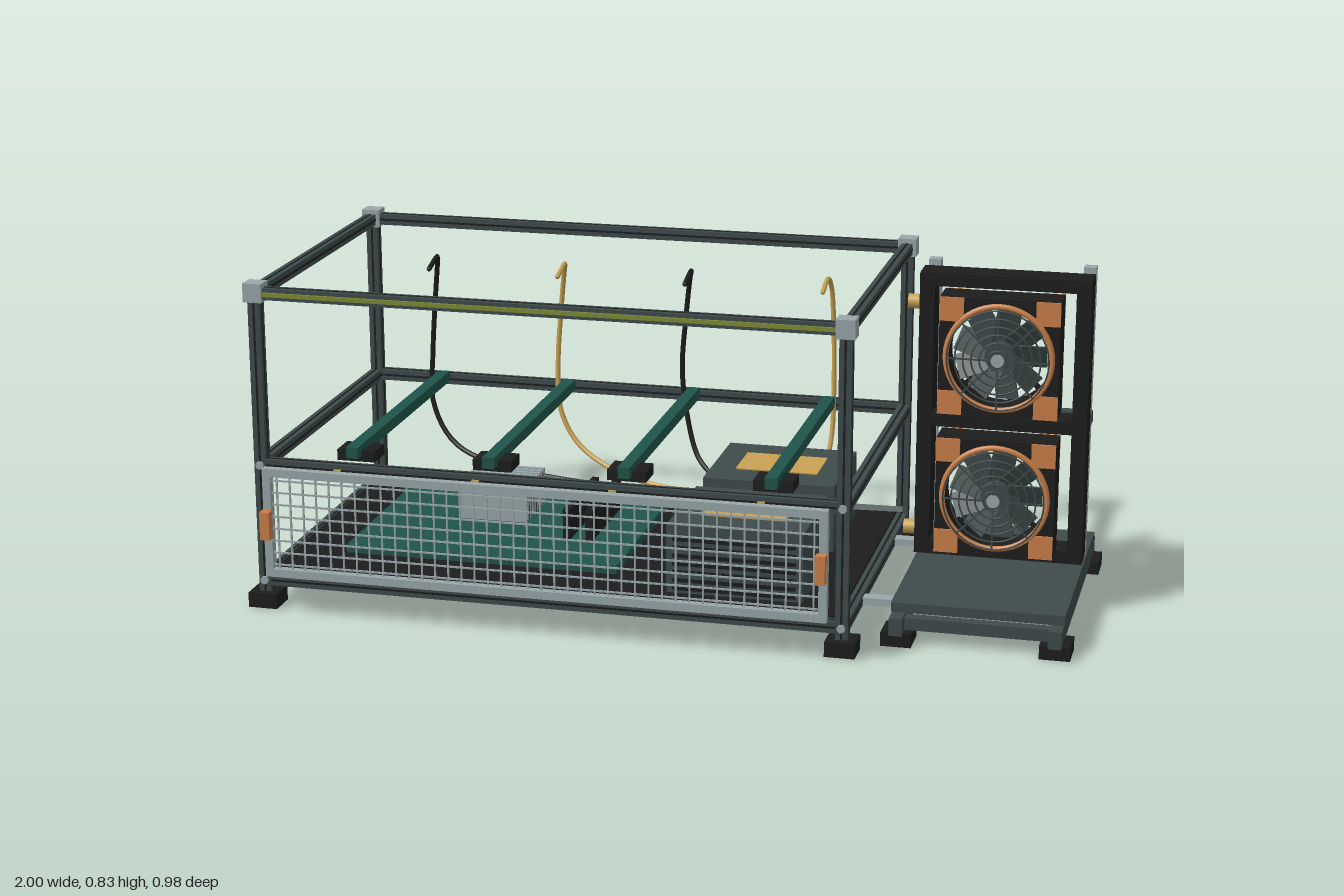
import * as THREE from 'three';

const mat = (name, color) => Object.assign(new THREE.MeshStandardMaterial({ color }), { name });
const slate = mat('slate', 0x3f4b4b), light = mat('light aluminium', 0x99a7aa);
const black = mat('black', 0x1d1d1d), green = mat('board green', 0x20544a);
const copper = mat('copper', 0xcb8048), gold = mat('gold', 0xc8a152), olive = mat('olive strip', 0x7f8c34);

function mesh(parent, name, geo, material, x = 0, y = 0, z = 0) {
  const m = new THREE.Mesh(geo, material);
  m.name = name;
  m.position.set(x, y, z);
  parent.add(m);
  return m;
}
// Box given by its low and high limits on each axis
function span(parent, name, material, [x0, x1], [y0, y1], [z0, z1]) {
  return mesh(parent, name, new THREE.BoxGeometry(x1 - x0, y1 - y0, z1 - z0), material,
    (x0 + x1) / 2, (y0 + y1) / 2, (z0 + z1) / 2);
}
function box(parent, name, material, w, h, d, x, y, z) {
  return mesh(parent, name, new THREE.BoxGeometry(w, h, d), material, x, y, z);
}
function group(parent, name) {
  const g = new THREE.Group();
  g.name = name;
  parent.add(g);
  return g;
}

const X = [-0.965, 0.468], Z = [-0.452, 0.386], CX = (X[0] + X[1]) / 2, CZ = (Z[0] + Z[1]) / 2;

// Slotted rail along one axis, with a dark groove on each long face
function rail(parent, name, axis, length, x, y, z, t = 0.028) {
  const g = group(parent, name);
  g.position.set(x, y, z);
  const size = (a, b, c) => axis === 'x' ? [a, b, c] : axis === 'y' ? [b, a, c] : [b, c, a];
  box(g, 'railBody', slate, ...size(length, t, t), 0, 0, 0);
  box(g, 'railGroove', black, ...size(length, t + 0.002, 0.005), 0, 0, 0);
  box(g, 'railGroove', black, ...size(length, 0.005, t + 0.002), 0, 0, 0);
}

function buildFrame(root) {
  const g = group(root, 'frame');
  for (const x of X) for (const z of Z) {
    rail(g, 'post', 'y', 0.75, x, 0.412, z, 0.03);
    box(g, 'cornerBlock', light, 0.046, 0.046, 0.046, x, 0.789, z);
    box(g, 'foot', black, 0.073, 0.037, 0.073, x, 0.0185, z);
    if (z > 0) for (const y of [0.36, 0.066]) {
      mesh(g, 'bolt', new THREE.CylinderGeometry(0.01, 0.01, 0.008, 10), light, x, y, z + 0.018).rotation.x = Math.PI / 2;
    }
  }
  for (const y of [0.786, 0.36, 0.066]) {
    for (const z of Z) rail(g, 'longRail', 'x', X[1] - X[0] - 0.03, CX, y, z);
    for (const x of X) rail(g, 'sideRail', 'z', Z[1] - Z[0] - 0.03, x, y, CZ);
  }
  // Diagonal braces at both ends
  const dz = 0.755, dy = 0.25;
  for (const x of X) {
    box(g, 'brace', light, 0.014, 0.014, Math.hypot(dz, dy), x, 0.226, -0.0275).rotation.x = -Math.atan2(dy, dz);
  }
  span(g, 'lightStrip', olive, [-0.94, 0.445], [0.781, 0.791], [0.398, 0.406]);
  span(g, 'tray', black, [-0.952, 0.455], [0.062, 0.087], [-0.44, 0.373]);
}

const BEAMS = [-0.767, -0.42, -0.083, 0.275];
function buildInterior(root) {
  const g = group(root, 'interior');
  // Beams on pads, clipped to the front rail
  for (const x of BEAMS) {
    span(g, 'beam', green, [x - 0.015, x + 0.015], [0.36, 0.388], [-0.42, 0.3]);
    span(g, 'beamPad', black, [x - 0.048, x + 0.048], [0.345, 0.372], [0.2, 0.272]);
    box(g, 'beamClip', gold, 0.018, 0.012, 0.008, x, 0.357, 0.403);
  }
  span(g, 'mainBoard', green, [-0.82, -0.125], [0.087, 0.107], [-0.366, 0.217]);
  // Heat sink with fins
  span(g, 'heatSinkBase', slate, [-0.612, -0.436], [0.107, 0.19], [-0.227, -0.05]);
  for (let i = 0; i < 9; i++) box(g, 'heatSinkFin', light, 0.178, 0.093, 0.011, -0.524, 0.1545, -0.222 + i * 0.0209);
  for (const x of [-0.298, -0.24]) span(g, 'memoryModule', black, [x - 0.009, x + 0.009], [0.107, 0.186], [-0.227, 0.052]);
  // Power units with a vented front and gold top plate
  for (const z of [-0.378, 0.002]) {
    span(g, 'powerUnit', slate, [0.024, 0.357], [0.087, 0.257], [z, z + 0.308]);
    span(g, 'topPlate', gold, [0.088, 0.297], [0.257, 0.26], [z + 0.081, z + 0.22]);
    for (let i = 0; i < 7; i++) box(g, 'ventSlot', black, 0.3, 0.008, 0.006, 0.19, 0.1 + i * 0.0205, z + 0.311);
  }
}

function buildCables(root) {
  const g = group(root, 'cables');
  const ends = [
    [[-0.8, 0.3, -0.42], [-0.74, 0.2, -0.4], [-0.6, 0.155, -0.36], [0.026, 0.14, -0.24]],
    [[-0.445, 0.3, -0.42], [-0.39, 0.215, -0.4], [-0.25, 0.155, -0.35], [0.026, 0.145, -0.26]],
    [[-0.1, 0.3, -0.42], [-0.07, 0.21, -0.4], [-0.03, 0.175, -0.37], [0.026, 0.16, -0.33]],
    [[0.285, 0.3, -0.418], [0.28, 0.24, -0.4], [0.275, 0.175, -0.377]],
  ];
  BEAMS.forEach((x, i) => {
    const bow = i === 3 ? 0.01 : -0.035;
    const pts = [[x, 0.69, -0.315], [x, 0.708, -0.385], [x + bow * 0.3, 0.68, -0.415], [x + bow * 0.7, 0.58, -0.432],
      [x + bow, 0.43, -0.432], ...ends[i]].map(p => new THREE.Vector3(...p));
    const curve = new THREE.CatmullRomCurve3(pts);
    mesh(g, 'cable', new THREE.TubeGeometry(curve, 60, 0.0065, 8), i % 2 ? gold : black);
    mesh(g, 'cableTip', new THREE.SphereGeometry(0.0065, 8, 6), i % 2 ? gold : black, ...pts[0].toArray());
  });
}

function buildMeshPanel(root) {
  const g = group(root, 'meshPanel');
  const x0 = -0.935, x1 = 0.445, y0 = 0.1, y1 = 0.373, t = 0.02, z = [0.446, 0.467];
  for (const y of [y0, y1 - t]) span(g, 'panelRail', light, [x0, x1], [y, y + t], z);
  for (const x of [x0, x1 - t]) span(g, 'panelStile', light, [x, x + t], [y0 + t, y1 - t], z);
  for (let i = 1; i < 42; i++) box(g, 'wireVertical', light, 0.004, y1 - y0 - t, 0.004, x0 + (x1 - x0) * i / 42, (y0 + y1) / 2, 0.456);
  for (let i = 1; i < 9; i++) box(g, 'wireHorizontal', light, x1 - x0 - t, 0.004, 0.004, (x0 + x1) / 2, y0 + (y1 - y0) * i / 9, 0.459);
  for (const x of [-0.925, 0.432]) span(g, 'panelHandle', copper, [x - 0.012, x + 0.012], [0.2, 0.27], [0.467, 0.49]);
}

function buildFan(parent, y) {
  const g = group(parent, 'fan');
  g.position.set(0.77, y, 0);
  const s = 0.144, shape = new THREE.Shape();
  shape.moveTo(-s, -s).lineTo(s, -s).lineTo(s, s).lineTo(-s, s).closePath();
  shape.holes.push(new THREE.Path().absarc(0, 0, 0.124, 0, Math.PI * 2, true));
  mesh(g, 'fanHousing', new THREE.ExtrudeGeometry(shape, { depth: 0.085, bevelEnabled: false, curveSegments: 32 }), black, 0, 0, -0.045);
  for (const sx of [-1, 1]) for (const sy of [-1, 1]) for (const z of [0.0425, -0.0475]) {
    box(g, 'cornerPad', copper, 0.058, 0.058, 0.005, sx * 0.115, sy * 0.115, z);
  }
  mesh(g, 'fanRing', new THREE.TorusGeometry(0.127, 0.007, 8, 48), copper, 0, 0, 0.042);
  // Rotor
  mesh(g, 'hub', new THREE.CylinderGeometry(0.036, 0.036, 0.05, 24), slate, 0, 0, 0).rotation.x = Math.PI / 2;
  for (let i = 0; i < 9; i++) {
    const arm = group(g, 'blade');
    arm.rotation.z = i * Math.PI * 2 / 9;
    box(arm, 'bladePlate', slate, 0.08, 0.062, 0.004, 0.07, 0, 0).rotation.x = 0.45;
  }
  for (const a of [Math.PI / 4, -Math.PI / 4]) box(g, 'rearStrut', black, 0.3, 0.012, 0.008, 0, 0, -0.04).rotation.z = a;
  // Wire guard
  for (let r = 0.024; r < 0.125; r += 0.0196) mesh(g, 'guardRing', new THREE.TorusGeometry(r, 0.0022, 5, 40), slate, 0, 0, 0.063);
  for (let i = 0; i < 4; i++) box(g, 'guardSpoke', slate, 0.245, 0.004, 0.003, 0, 0, 0.063).rotation.z = i * Math.PI / 4;
  mesh(g, 'guardCentre', new THREE.CylinderGeometry(0.016, 0.016, 0.004, 16), light, 0, 0, 0.064).rotation.x = Math.PI / 2;
}

function buildRadiator(root) {
  const g = group(root, 'radiatorStand');
  const xs = [0.564, 0.976];
  span(g, 'basePlate', slate, xs, [0.073, 0.097], [-0.352, 0.28]);
  for (const x of [0.583, 0.958]) {
    span(g, 'runner', slate, [x - 0.016, x + 0.016], [0.03, 0.073], [-0.394, 0.328]);
    for (const z of [-0.345, 0.278]) box(g, 'standFoot', black, 0.073, 0.034, 0.083, x, 0.017, z);
  }
  for (const z of [-0.345, 0.278]) span(g, 'crossRunner', slate, [0.599, 0.942], [0.035, 0.065], [z - 0.015, z + 0.015]);
  for (const z of [-0.265, 0.185]) span(g, 'linkBar', light, [0.36, 0.75], [0.056, 0.073], [z - 0.016, z + 0.016]);
  // Uprights and cross bar behind
  for (const x of [0.582, 0.958]) span(g, 'upright', light, [x - 0.015, x + 0.015], [0.097, 0.829], [-0.187, -0.157]);
  span(g, 'crossBar', slate, xs, [0.437, 0.466], [-0.188, -0.156]);
  // Open radiator casing
  const z = [-0.123, -0.045];
  for (const x of [0.564, 0.94]) span(g, 'casingSide', black, [x, x + 0.036], [0.113, 0.822], z);
  for (const [a, b] of [[0.113, 0.145], [0.44, 0.472], [0.79, 0.822]]) span(g, 'casingBar', black, [0.6, 0.94], [a, b], z);
  for (const y of [0.643, 0.294]) buildFan(g, y);
  for (const y of [0.74, 0.166]) {
    mesh(g, 'hoseFitting', new THREE.CylinderGeometry(0.018, 0.018, 0.05, 20), gold, 0.557, y, -0.085).rotation.z = Math.PI / 2;
  }
}

export function createModel() {
  const root = new THREE.Group();
  root.name = 'openFrameRig';
  buildFrame(root);
  buildInterior(root);
  buildCables(root);
  buildMeshPanel(root);
  buildRadiator(root);
  return root;
}
